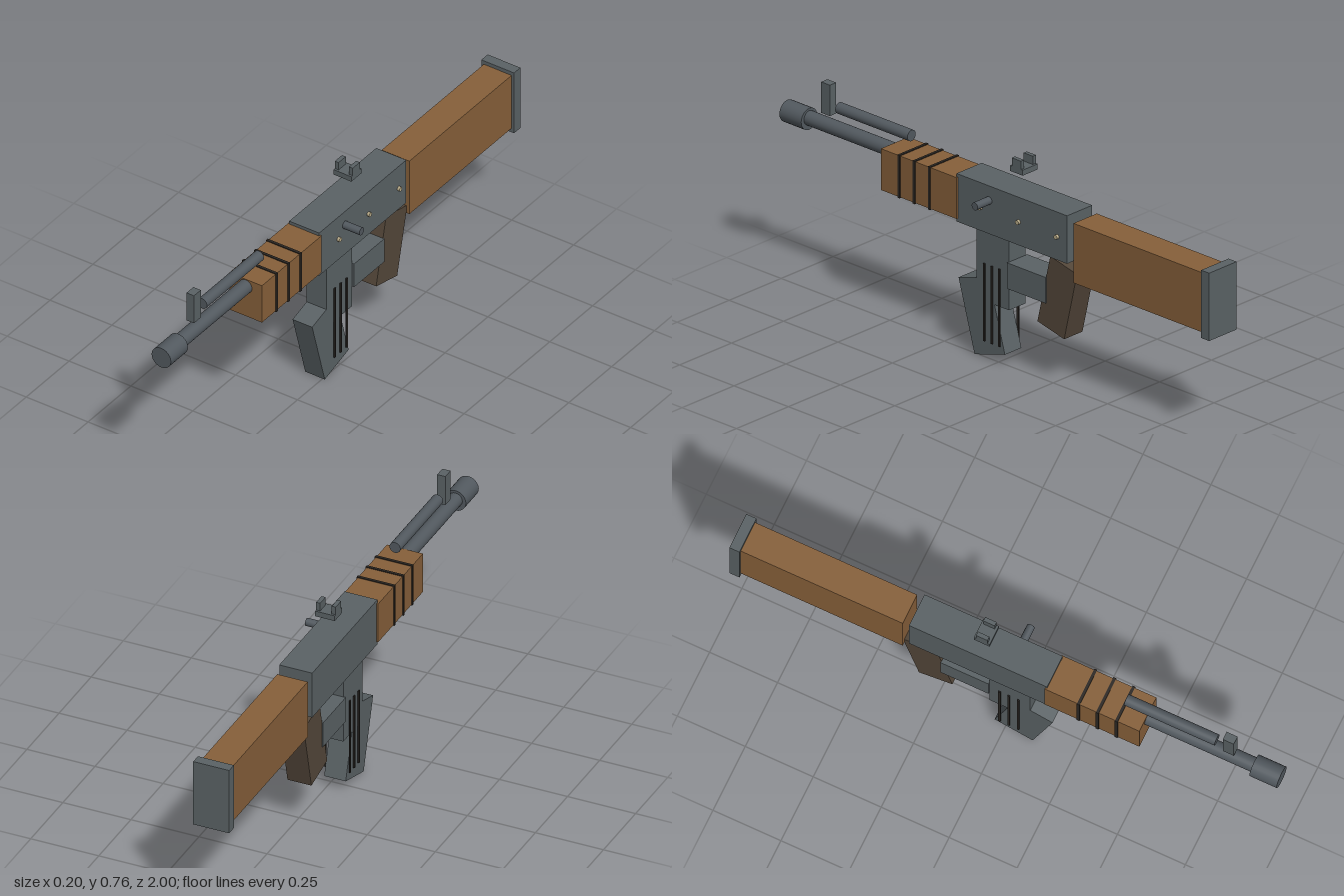
import * as THREE from 'three';

const CX = -0.031; // centre plane of the body

const mat = (name, color) => {
  const m = new THREE.MeshStandardMaterial({ color });
  m.name = name;
  return m;
};

export function createModel() {
  const model = new THREE.Group();
  model.name = 'rifle';
  const steel = mat('steel', 0x5a6265);
  const barrelSteel = mat('barrel steel', 0x52595f);
  const wood = mat('wood', 0x87603a);
  const gripBrown = mat('dark grip', 0x54473a);
  const dark = mat('dark trim', 0x2b2723);
  const brass = mat('pale pin', 0xb8aa88);

  const add = (name, geo, m, x, y, z) => {
    const mesh = new THREE.Mesh(geo, m);
    mesh.name = name;
    mesh.position.set(x, y, z);
    model.add(mesh);
    return mesh;
  };
  // Box centred on x, spanning y0..y1 and z0..z1
  const box = (name, m, w, y0, y1, z0, z1, x = CX) =>
    add(name, new THREE.BoxGeometry(w, y1 - y0, z1 - z0), m, x, (y0 + y1) / 2, (z0 + z1) / 2);
  // Cylinder lying along z
  const rodZ = (name, m, r, y, z0, z1) =>
    add(name, new THREE.CylinderGeometry(r, r, z1 - z0, 24).rotateX(Math.PI / 2), m, CX, y, (z0 + z1) / 2);
  // Cylinder lying along x
  const rodX = (name, m, r, x0, x1, y, z) =>
    add(name, new THREE.CylinderGeometry(r, r, x1 - x0, 16).rotateZ(Math.PI / 2), m, (x0 + x1) / 2, y, z);

  // Receiver, stock and handguard
  box('receiver', steel, 0.121, 0.476, 0.65, -0.342, 0.166);
  box('stock', wood, 0.112, 0.413, 0.629, -0.965, -0.367);
  box('buttPlate', steel, 0.132, 0.397, 0.643, -1, -0.963);
  box('handguard', wood, 0.132, 0.488, 0.638, 0.16, 0.508);
  for (const z of [0.284, 0.354, 0.424]) {
    box('handguardBand', dark, 0.138, 0.485, 0.641, z - 0.005, z + 0.005);
  }

  // Barrel group
  rodZ('barrel', barrelSteel, 0.026, 0.61, 0.5, 0.91);
  rodZ('muzzle', barrelSteel, 0.039, 0.606, 0.9, 1);
  rodZ('gasTube', barrelSteel, 0.02, 0.688, 0.43, 0.762);

  // Sights
  box('frontSight', steel, 0.03, 0.654, 0.766, 0.791, 0.831);
  box('rearSightBase', steel, 0.072, 0.719, 0.739, -0.115, -0.057);
  for (const s of [-1, 1]) {
    box('rearSightPost', steel, 0.015, 0.738, 0.769, -0.107, -0.065, CX + s * 0.0285);
  }

  // Bolt handle and receiver pins
  rodX('boltHandle', barrelSteel, 0.014, 0.02, 0.098, 0.597, 0.017);
  for (const z of [0.055, -0.12, -0.297]) rodX('pin', brass, 0.008, 0.02, 0.039, 0.561, z);

  // Magazine well, trigger housing and tilted lower parts
  box('magazineWell', steel, 0.08, 0.214, 0.48, -0.056, 0.094);
  box('triggerHousing', steel, 0.097, 0.295, 0.389, -0.232, -0.055);
  const magazine = add('magazine', new THREE.BoxGeometry(0.079, 0.267, 0.145), steel, CX, 0.155, 0.07);
  magazine.rotation.x = 0.28;
  const grip = add('grip', new THREE.BoxGeometry(0.088, 0.26, 0.126), gripBrown, CX, 0.329, -0.281);
  grip.rotation.x = -0.228;

  // Thin ribs on both sides of the magazine
  for (const s of [-1, 1]) {
    for (const z of [0.053, 0.018, -0.016]) {
      box('magazineRib', dark, 0.005, 0.072, 0.353, z - 0.004, z + 0.004, CX + s * 0.0455);
    }
  }
  return model;
}
